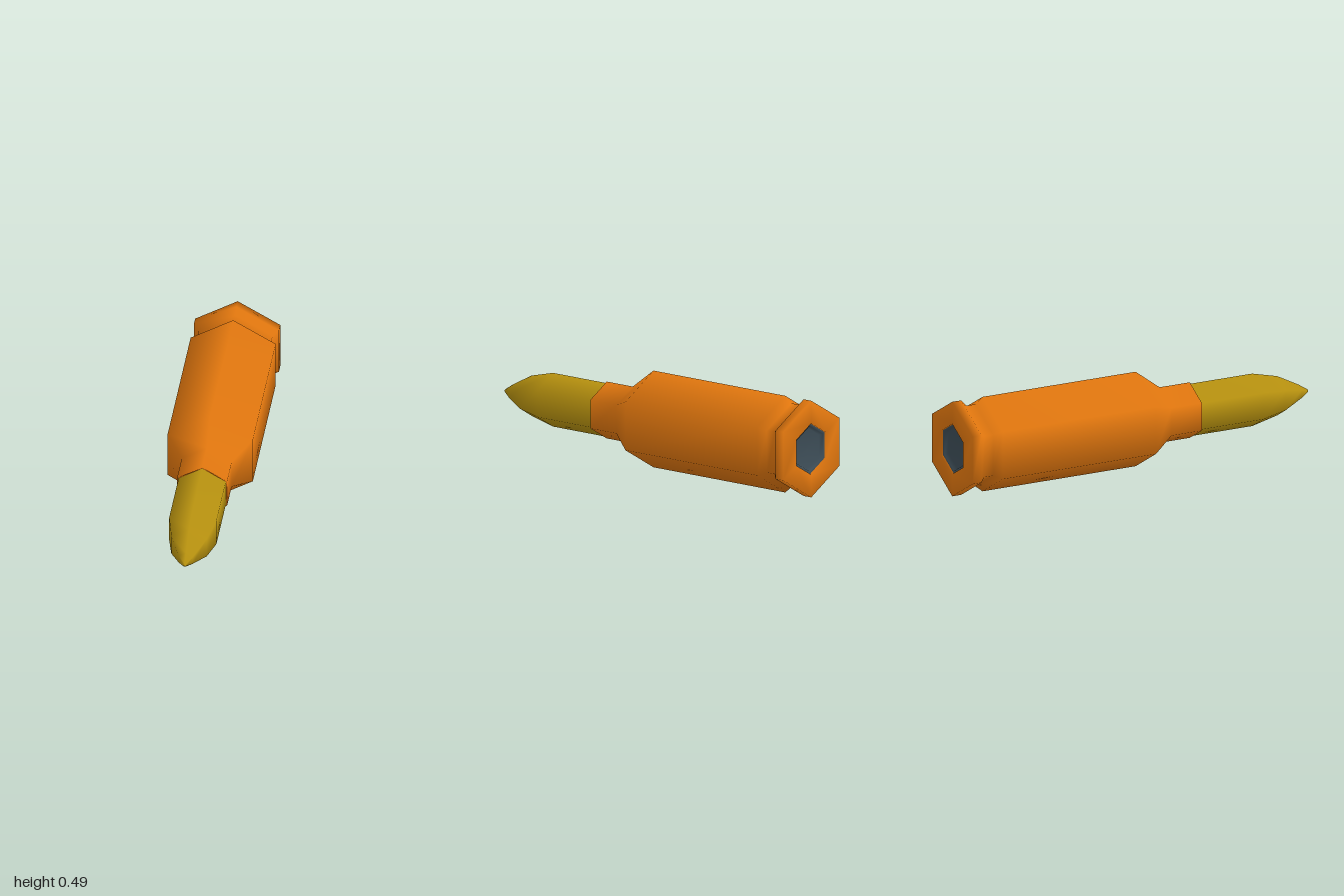
import * as THREE from 'three';

const SIDES = 6;
const AXIS_HEIGHT = 0.246;

const orange = new THREE.MeshStandardMaterial({ color: 0xe2770e });
orange.name = 'orange casing';
const gold = new THREE.MeshStandardMaterial({ color: 0xb8920f });
gold.name = 'dark gold';
const slate = new THREE.MeshStandardMaterial({ color: 0x3d4d57 });
slate.name = 'slate grey';

// Six-sided, smoothly shaded body turned around the z axis; profile is [radius, z]
function turned(name, profile, material) {
  const points = profile.map(([r, z]) => new THREE.Vector2(r, z));
  const geometry = new THREE.LatheGeometry(points, SIDES);
  geometry.rotateX(Math.PI / 2);
  geometry.translate(0, AXIS_HEIGHT, 0);
  const mesh = new THREE.Mesh(geometry, material);
  mesh.name = name;
  return mesh;
}

export function createModel() {
  const model = new THREE.Group();
  model.name = 'cartridge';

  // Casing: primer pocket, rim, extractor groove, body, shoulder, neck, mouth
  model.add(turned('casing', [
    [0.13, -0.97], [0.13, -1],
    [0.245, -1], [0.245, -0.95],
    [0.213, -0.92], [0.213, -0.87],
    [0.245, -0.83], [0.245, 0.03],
    [0.144, 0.165], [0.144, 0.335],
    [0.137, 0.335], [0.137, 0.3],
  ], orange));

  // Bullet: straight shank curving to a point
  model.add(turned('bullet', [
    [0.136, 0.29], [0.136, 0.685],
    [0.102, 0.825], [0.04, 0.945], [0.008, 0.995], [0, 1],
  ], gold));

  // Primer: shallow dish set in the back of the casing
  model.add(turned('primer', [
    [0, -0.97], [0.105, -0.972], [0.115, -0.99], [0.13, -0.99],
  ], slate));

  return model;
}
